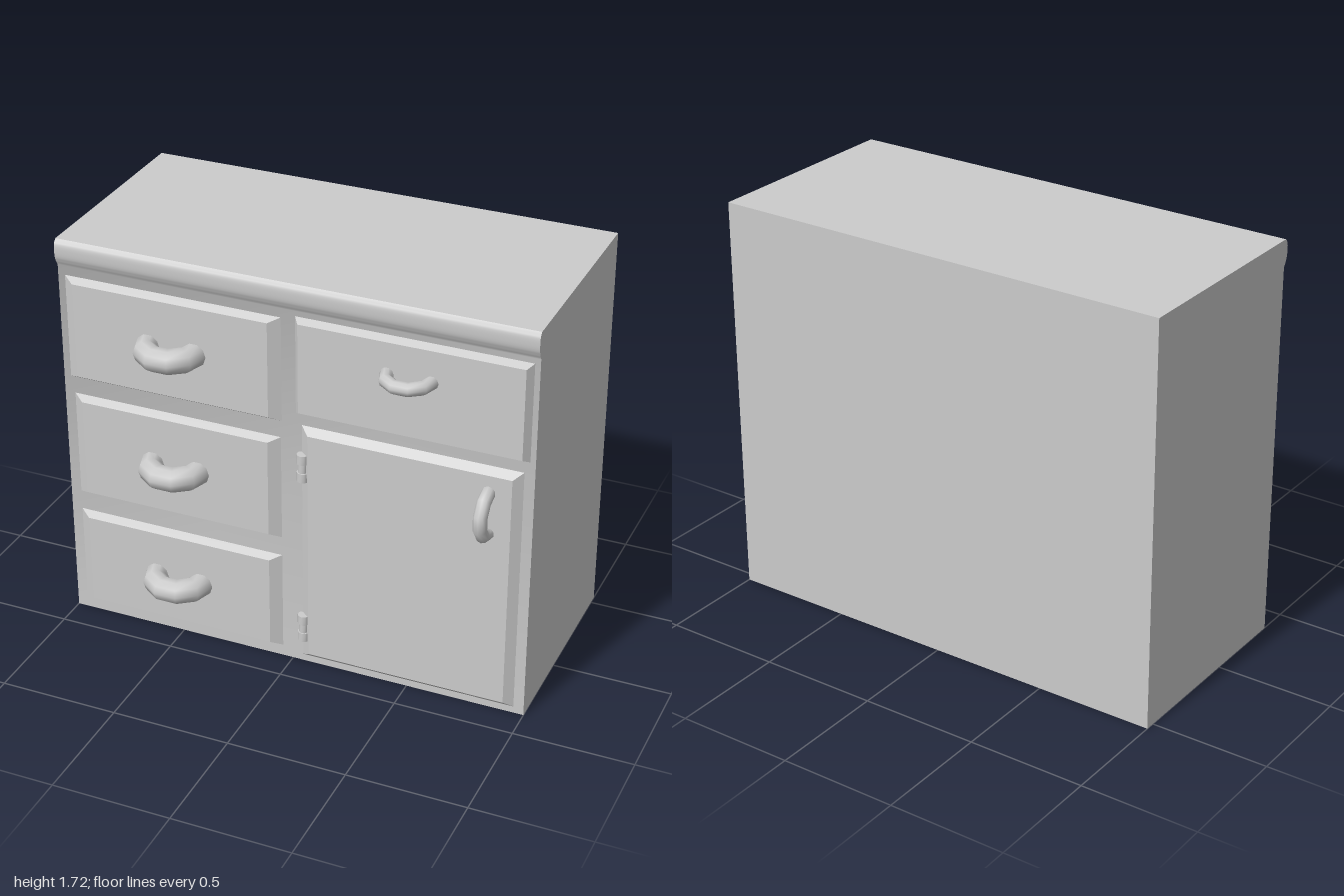
import * as THREE from 'three';
import { toCreasedNormals } from 'three/addons/utils/BufferGeometryUtils.js';

const material = new THREE.MeshStandardMaterial({ color: 0xcccccc });
const FRONT = 0.37;

function add(parent, name, geometry, x = 0, y = 0, z = 0) {
  const mesh = new THREE.Mesh(geometry, material);
  mesh.name = name;
  mesh.position.set(x, y, z);
  parent.add(mesh);
  return mesh;
}

// Cabinet body: side profile with a rounded lip under the worktop edge
function carcassGeometry() {
  const s = new THREE.Shape();
  s.moveTo(-0.54, 0);
  s.lineTo(FRONT, 0);
  s.lineTo(FRONT, 1.6);
  s.bezierCurveTo(0.385, 1.625, 0.39, 1.635, 0.391, 1.66);
  s.bezierCurveTo(0.392, 1.69, 0.392, 1.7, 0.375, 1.715);
  s.lineTo(-0.54, 1.715);
  const g = new THREE.ExtrudeGeometry(s, { depth: 2, bevelEnabled: false, curveSegments: 6 });
  g.rotateY(-Math.PI / 2).translate(1, 0, 0);
  return toCreasedNormals(g, 0.7);
}

// Panel whose front face is drawn in by bx and by, giving sloped borders
function panel(parent, name, x0, x1, y0, y1, bx, by) {
  const w = x1 - x0, h = y1 - y0, depth = 0.03;
  const g = new THREE.BoxGeometry(w, h, depth);
  const p = g.attributes.position;
  for (let i = 0; i < p.count; i++) {
    if (p.getZ(i) > 0) {
      p.setX(i, p.getX(i) * (1 - 2 * bx / w));
      p.setY(i, p.getY(i) * (1 - 2 * by / h));
    }
  }
  g.computeVertexNormals();
  add(parent, name, g, (x0 + x1) / 2, (y0 + y1) / 2, FRONT + depth / 2);
}

// Ring pull, half sunk into the panel
function handle(parent, name, x, y, z, outer, tube, upright = false) {
  const g = new THREE.TorusGeometry(outer - tube, tube, 10, 10);
  g.rotateX(Math.PI / 2);
  if (upright) g.rotateZ(Math.PI / 2);
  add(parent, name, g, x, y, z);
}

export function createModel() {
  const model = new THREE.Group();
  model.name = 'cabinet';
  add(model, 'carcass', carcassGeometry());

  // Left column of three drawers
  const drawers = [
    ['upperDrawer', -0.97, -0.04, 1.11, 1.56, 1.335],
    ['middleDrawer', -0.955, -0.045, 0.573, 1.035, 0.803],
    ['lowerDrawer', -0.955, -0.045, 0.05, 0.488, 0.27],
  ];
  for (const [name, x0, x1, y0, y1, hy] of drawers) {
    const group = new THREE.Group();
    group.name = name;
    panel(group, name + 'Panel', x0, x1, y0, y1, 0.045, 0.02);
    handle(group, name + 'Handle', -0.5, hy, 0.388, 0.155, 0.052);
    model.add(group);
  }

  // Wide drawer above the door
  const rightDrawer = new THREE.Group();
  rightDrawer.name = 'rightDrawer';
  panel(rightDrawer, 'rightDrawerPanel', 0.02, 0.978, 1.16, 1.578, 0.022, 0.017);
  handle(rightDrawer, 'rightDrawerHandle', 0.498, 1.428, 0.397, 0.119, 0.028);
  model.add(rightDrawer);

  // Door with upright pull and two hinges
  const door = new THREE.Group();
  door.name = 'door';
  panel(door, 'doorPanel', 0.045, 0.957, 0.03, 1.11, 0.036, 0.028);
  handle(door, 'doorHandle', 0.828, 0.918, 0.397, 0.119, 0.028, true);
  for (const y of [0.93, 0.177]) {
    const hinge = new THREE.Group();
    hinge.name = 'hinge';
    for (const dy of [-0.04, 0, 0.04]) {
      const r = dy === 0 ? 0.02 : 0.025;
      add(hinge, 'hingeKnuckle', toCreasedNormals(new THREE.CylinderGeometry(r, r, 0.04, 10), 0.9), 0.055, y + dy, 0.385);
    }
    door.add(hinge);
  }
  model.add(door);
  return model;
}
